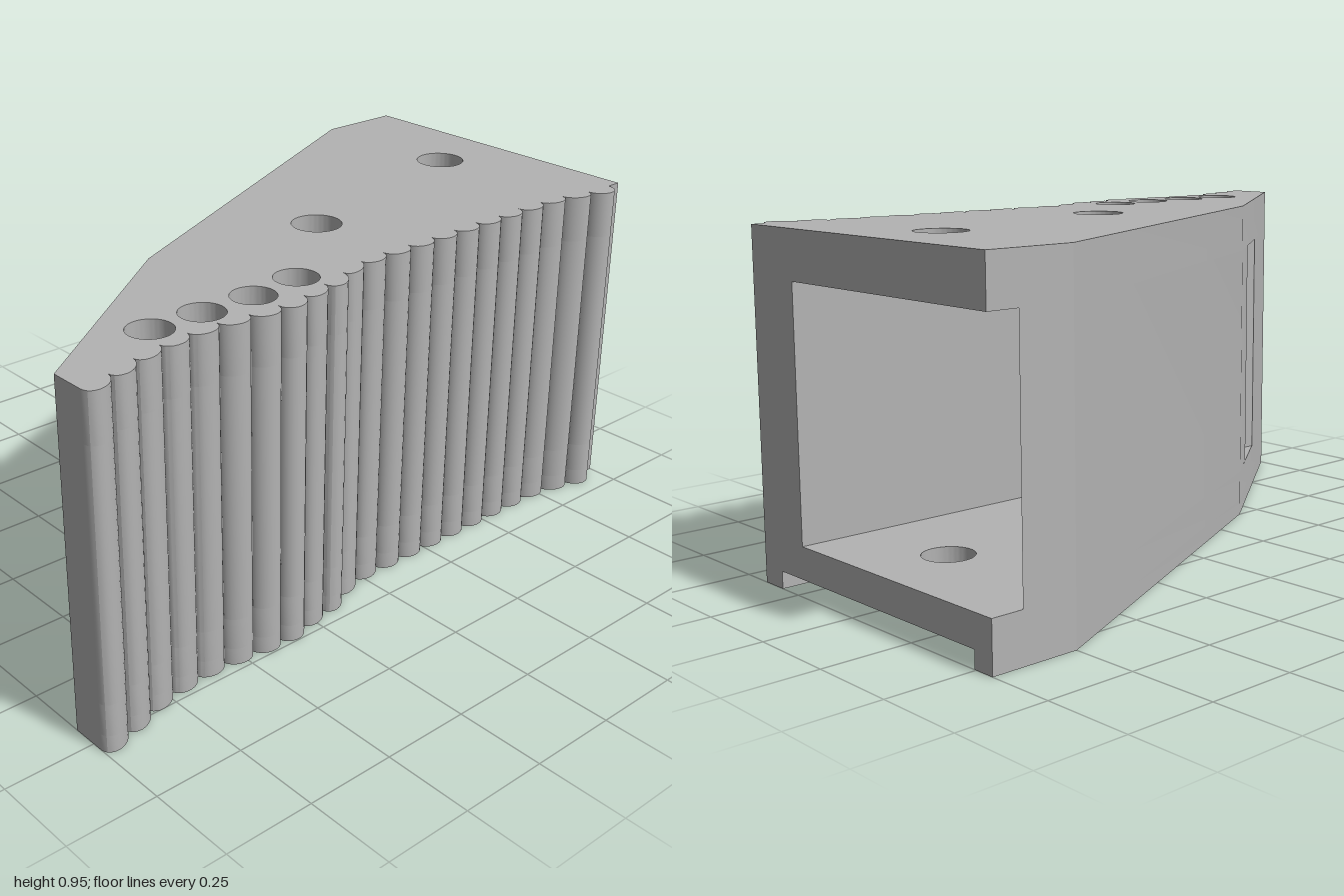
import * as THREE from 'three';
import { toCreasedNormals } from 'three/addons/utils/BufferGeometryUtils.js';

// Heights of the stacked layers
const POCKET = 0.048, FLOOR = 0.137, CEILING = 0.822, TOP = 0.955;

// Crest depth (z) of each ridge along the front, from right to left
const CRESTS = [0.557, 0.53, 0.5, 0.485, 0.478, 0.485, 0.495, 0.497, 0.475, 0.46, 0.42,
  0.404, 0.405, 0.405, 0.405, 0.405, 0.405, 0.405, 0.405, 0.407, 0.425, 0.449];
const PITCH = 0.0889, BULGE = 0.038, STEPS = 12;

// Scalloped front edge as [x, z] points from x = -1 to x = 1
function frontEdge() {
  const n = CRESTS.length;
  const cusp = (i) => {
    if (i === 0) return 0.53;
    if (i === n) return 0.406;
    return (CRESTS[i - 1] + CRESTS[i]) / 2 - BULGE;
  };
  const points = [[-1, cusp(0)]];
  for (let i = 0; i < n; i++) {
    const a = cusp(i), b = cusp(i + 1);
    const bulge = CRESTS[i] - (a + b) / 2;
    for (let s = 1; s <= STEPS; s++) {
      const t = (1 - Math.cos(Math.PI * s / STEPS)) / 2;
      points.push([-1 + PITCH * (i + t), a + (b - a) * t + bulge * Math.sin(Math.PI * s / STEPS)]);
    }
  }
  points.push([1, 0.406]);
  return points;
}

const SMALL_HOLES = [[-0.695, 0.37, 0.06], [-0.54, 0.37, 0.06], [-0.38, 0.37, 0.06], [-0.22, 0.348, 0.06]];
const MIDDLE_HOLE = [0.09, 0.085, 0.07];
const END_HOLE = [0.77, -0.095, 0.07];

// Extrudes a plan outline of [x, z] points between two heights
function slab(name, outline, holes, y0, y1, material) {
  const shape = new THREE.Shape(outline.map(([x, z]) => new THREE.Vector2(x, -z)));
  for (const [x, z, r] of holes) {
    shape.holes.push(new THREE.Path().absarc(x, -z, r, 0, Math.PI * 2, true));
  }
  const geometry = new THREE.ExtrudeGeometry(shape, { depth: y1 - y0, bevelEnabled: false, curveSegments: 32 });
  geometry.rotateX(-Math.PI / 2);
  geometry.translate(0, y0, 0);
  const mesh = new THREE.Mesh(toCreasedNormals(geometry, 0.35), material);
  mesh.name = name;
  return mesh;
}

export function createModel() {
  const group = new THREE.Group();
  group.name = 'ribbedBracket';
  const grey = new THREE.MeshStandardMaterial({ color: 0xb3b3b3 });
  grey.name = 'grey';

  const front = frontEdge();
  const back = [[0.75, -0.56], [-0.42, 0], [-1, 0.43]];
  const plate = [...front, [1, -0.56], ...back];
  const allHoles = [...SMALL_HOLES, MIDDLE_HOLE, END_HOLE];

  // Underside with a shallow pocket open at the left end
  const pocket = [[1, 0.325], [0.64, 0.325], [0.64, -0.495], [1, -0.495]];
  group.add(slab('pocketedBase', [...front, ...pocket, [1, -0.56], ...back],
    [...SMALL_HOLES, MIDDLE_HOLE], 0, POCKET, grey));

  // Floor and top plates
  group.add(slab('floorPlate', plate, allHoles, POCKET, FLOOR, grey));
  group.add(slab('topPlate', plate, allHoles, CEILING, TOP, grey));

  // Walls either side of the through channel
  group.add(slab('ribbedFrontWall', [...front, [1, 0.22], [-0.717, 0.22], [-1, 0.43]],
    SMALL_HOLES, FLOOR, CEILING, grey));
  group.add(slab('backWall', [[-0.541, 0.09], [0.91, -0.56], [0.75, -0.56], [-0.42, 0]],
    [], FLOOR, CEILING, grey));

  return group;
}
